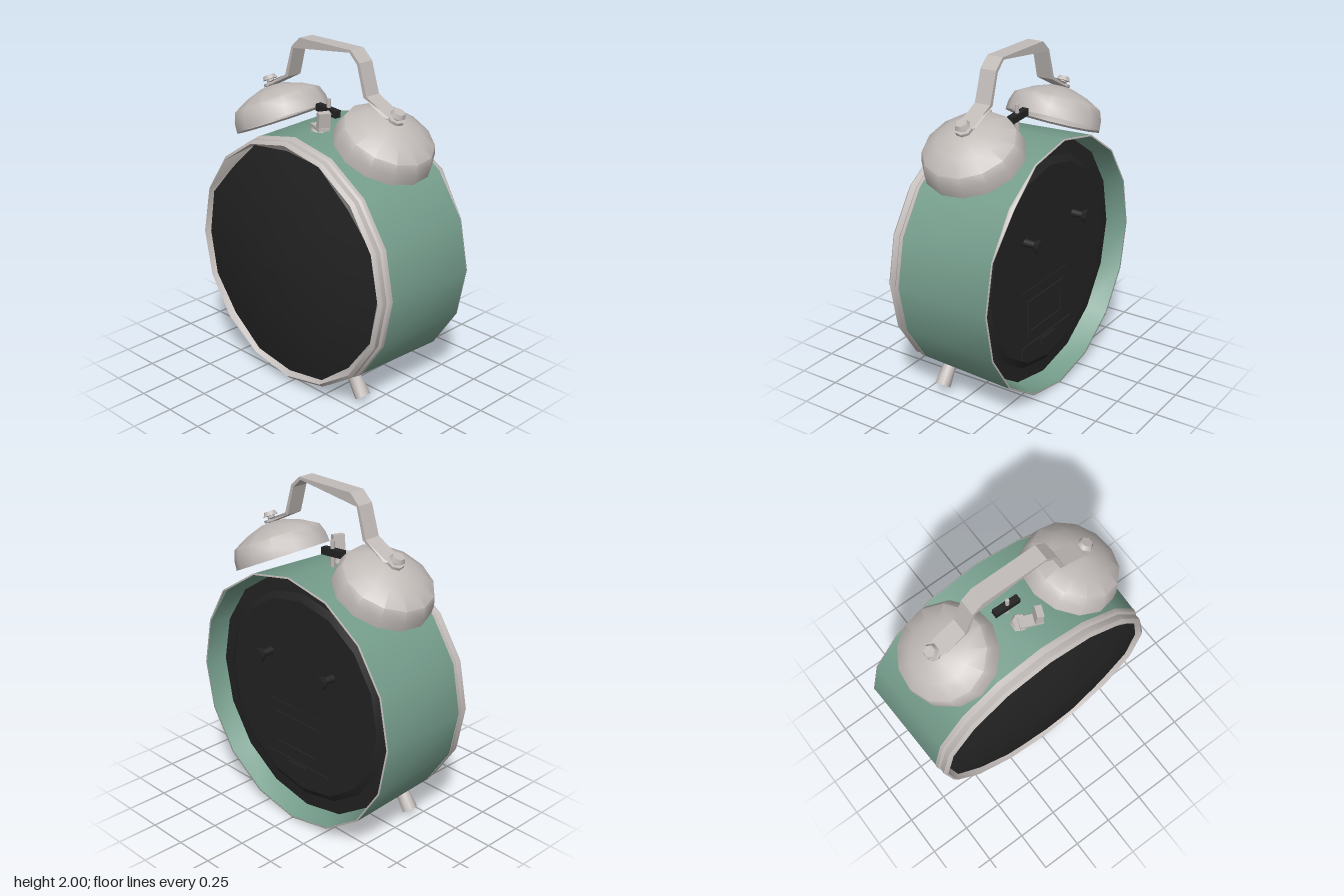
import * as THREE from 'three';
import { toCreasedNormals } from 'three/addons/utils/BufferGeometryUtils.js';

const mat = (name, color) => {
  const m = new THREE.MeshStandardMaterial({ color, side: THREE.DoubleSide });
  m.name = name;
  return m;
};
const CY = 0.77; // height of the clock's centre

export function createModel() {
  const green = mat('greenPaint', 0x759d8c);
  const metal = mat('paleMetal', 0xc1bbb8);
  const black = mat('black', 0x232323);
  const root = new THREE.Group();
  root.name = 'alarmClock';

  const add = (parent, name, geo, material, x = 0, y = 0, z = 0) => {
    const mesh = new THREE.Mesh(geo, material);
    mesh.name = name;
    mesh.position.set(x, y, z);
    parent.add(mesh);
    return mesh;
  };
  const lathe = (pts, sides) =>
    new THREE.LatheGeometry(pts.map(([r, y]) => new THREE.Vector2(r, y)), sides);
  // Lathe turned to face forward: profile is [radius, z]
  const round = (pts, sides = 16) => lathe(pts, sides).rotateX(Math.PI / 2);

  // Faceted face outline: radii from the top down, mirrored left and right
  const radii = [0.68, 0.705, 0.66, 0.7, 0.69, 0.695, 0.68, 0.7, 0.69];
  const facet = (geo) => {
    const p = geo.attributes.position;
    for (let i = 0; i < p.count; i++) {
      const x = p.getX(i), y = p.getY(i), r = Math.hypot(x, y);
      if (r > 0.7 || r < 0.01) continue;
      const k = radii[Math.round(Math.atan2(Math.abs(x), y) / (Math.PI / 8))] / 0.69;
      p.setXY(i, x * k, y * k);
    }
    geo.computeVertexNormals();
    return geo;
  };

  // Case, open at the back
  add(root, 'case', toCreasedNormals(round([
    [0.725, -0.24], [0.757, -0.36], [0.765, -0.36], [0.744, 0.247],
  ]), 0.6), green, 0, CY, 0);

  // Thin trim along the back edge, bent outward at the upper left
  const trimGeo = round([[0.757, -0.362], [0.766, -0.362], [0.766, -0.357]]);
  const tp = trimGeo.attributes.position;
  for (let i = 0; i < tp.count; i++) {
    if (tp.getX(i) > 0.5 && tp.getY(i) > 0.5 && tp.getZ(i) < -0.36) tp.setZ(i, -0.385);
  }
  trimGeo.computeVertexNormals();
  add(root, 'backTrim', trimGeo, metal, 0, CY, 0);

  // Front rim and domed face
  add(root, 'rim', toCreasedNormals(facet(round([
    [0.72, 0.236], [0.747, 0.236], [0.745, 0.258], [0.733, 0.27], [0.737, 0.305], [0.717, 0.324], [0.69, 0.298],
  ])), 0.6), metal, 0, CY, 0);
  add(root, 'face', facet(round([
    [0.69, 0.298], [0.5, 0.343], [0.26, 0.374], [0.001, 0.383],
  ])), black, 0, CY, 0);

  // Recessed back plate with a raised middle
  add(root, 'backPlate', toCreasedNormals(round([
    [0.001, -0.275], [0.6, -0.275], [0.64, -0.25], [0.735, -0.24],
  ]), 0.3), black, 0, CY, 0);
  for (const s of [-1, 1]) {
    add(root, 'knobStem', new THREE.CylinderGeometry(0.025, 0.02, 0.08, 8).rotateX(Math.PI / 2),
      black, s * 0.255, 0.99, -0.31);
    add(root, 'knob', new THREE.CylinderGeometry(0.04, 0.045, 0.03, 7).rotateX(Math.PI / 2),
      black, s * 0.255, 0.99, -0.365);
  }

  // Battery cover frame, catch and ridge on the back
  const frame = new THREE.Shape();
  frame.moveTo(-0.19, -0.11).lineTo(0.19, -0.11).lineTo(0.19, 0.11).lineTo(-0.19, 0.11);
  const hole = new THREE.Path();
  hole.moveTo(-0.165, -0.085).lineTo(-0.165, 0.085).lineTo(0.165, 0.085).lineTo(0.165, -0.085);
  frame.holes.push(hole);
  add(root, 'batteryFrame', new THREE.ExtrudeGeometry(frame, { depth: 0.015, bevelEnabled: false }),
    black, 0.045, 0.505, -0.284);
  add(root, 'batteryRidge', new THREE.BoxGeometry(0.5, 0.01, 0.01), black, 0.045, 0.68, -0.275);
  add(root, 'batterySill', new THREE.BoxGeometry(0.52, 0.07, 0.012), black, 0.03, 0.3, -0.278);
  add(root, 'batteryCatch', new THREE.BoxGeometry(0.14, 0.05, 0.03), black, 0.03, 0.3, -0.282);

  // Bells with bolts and mounts, and the feet, on both sides
  const bellGeo = toCreasedNormals(lathe([
    [0.27, 0.01], [0.288, 0], [0.283, 0.06], [0.262, 0.118], [0.17, 0.168], [0.07, 0.203], [0.001, 0.208],
  ], 13), 0.75);
  for (const s of [-1, 1]) {
    const bell = new THREE.Group();
    bell.name = s > 0 ? 'leftBell' : 'rightBell';
    bell.position.set(s * 0.397, 1.472, -0.04);
    bell.rotation.z = -s * 0.455;
    root.add(bell);
    add(bell, 'bellDome', bellGeo, metal);
    add(bell, 'bellMount', new THREE.CylinderGeometry(0.016, 0.02, 0.04, 7), metal, 0, -0.072, 0);
    add(bell, 'boltNeck', new THREE.CylinderGeometry(0.022, 0.022, 0.07, 7), metal, 0, 0.23, 0);
    add(bell, 'boltWasher', new THREE.CylinderGeometry(0.047, 0.047, 0.016, 7), metal, 0, 0.217, 0);
    add(bell, 'boltHead', new THREE.CylinderGeometry(0.034, 0.046, 0.025, 6), metal, 0, 0.257, 0);

    const foot = add(root, 'foot', toCreasedNormals(
      new THREE.CylinderGeometry(0.04, 0.047, 0.13, 9), 0.8), metal, s * 0.43, 0.098, 0.16);
    foot.rotation.z = s * 0.6;
  }

  // Handle: a bent flat strap, its top bar thicker toward the right
  const half = [[0.51, 1.665], [0.46, 1.695], [0.32, 1.765], [0.265, 1.94], [0.2, 2.0]];
  const innerLeft = [[0.5, 1.65], [0.45, 1.678], [0.298, 1.757], [0.248, 1.93], [0.19, 1.985]];
  const innerRight = [[-0.5, 1.65], [-0.45, 1.678], [-0.298, 1.757], [-0.25, 1.933]];
  const loop = [...half, ...half.map(([x, y]) => [-x, y]).reverse(), ...innerRight, ...innerLeft.reverse()];
  const strap = new THREE.Shape(loop.map(([x, y]) => new THREE.Vector2(x, y)));
  const strapGeo = new THREE.ExtrudeGeometry(strap, { depth: 0.1, bevelEnabled: false });
  strapGeo.translate(0, 0, -0.05);
  const sp = strapGeo.attributes.position;
  for (let i = 0; i < sp.count; i++) {
    if (Math.abs(sp.getX(i)) > 0.48) sp.setZ(i, sp.getZ(i) * 0.5); // tapered ends
  }
  strapGeo.computeVertexNormals();
  add(root, 'handle', strapGeo, metal, 0, 0, -0.04);

  // Striker pin with a black bar under the handle
  add(root, 'strikerPin', new THREE.CylinderGeometry(0.012, 0.016, 0.17, 6), metal, -0.015, 1.59, -0.04);
  add(root, 'strikerBar', new THREE.BoxGeometry(0.16, 0.042, 0.04), black, -0.022, 1.605, -0.04)
    .rotation.z = -0.08;

  // Switch lever in front of the striker
  const lever = new THREE.Group();
  lever.name = 'switchLever';
  lever.position.set(0, 0, 0.05);
  root.add(lever);
  add(lever, 'leverBase', new THREE.CylinderGeometry(0.04, 0.055, 0.03, 6), metal, 0, 1.53, 0);
  add(lever, 'leverArm', new THREE.BoxGeometry(0.13, 0.018, 0.065), metal, 0.045, 1.552, 0.038)
    .rotation.y = -0.4;
  add(lever, 'leverTab', new THREE.BoxGeometry(0.04, 0.1, 0.07), metal, 0.085, 1.598, 0.05)
    .rotation.set(0, -0.4, -0.12);

  return root;
}
